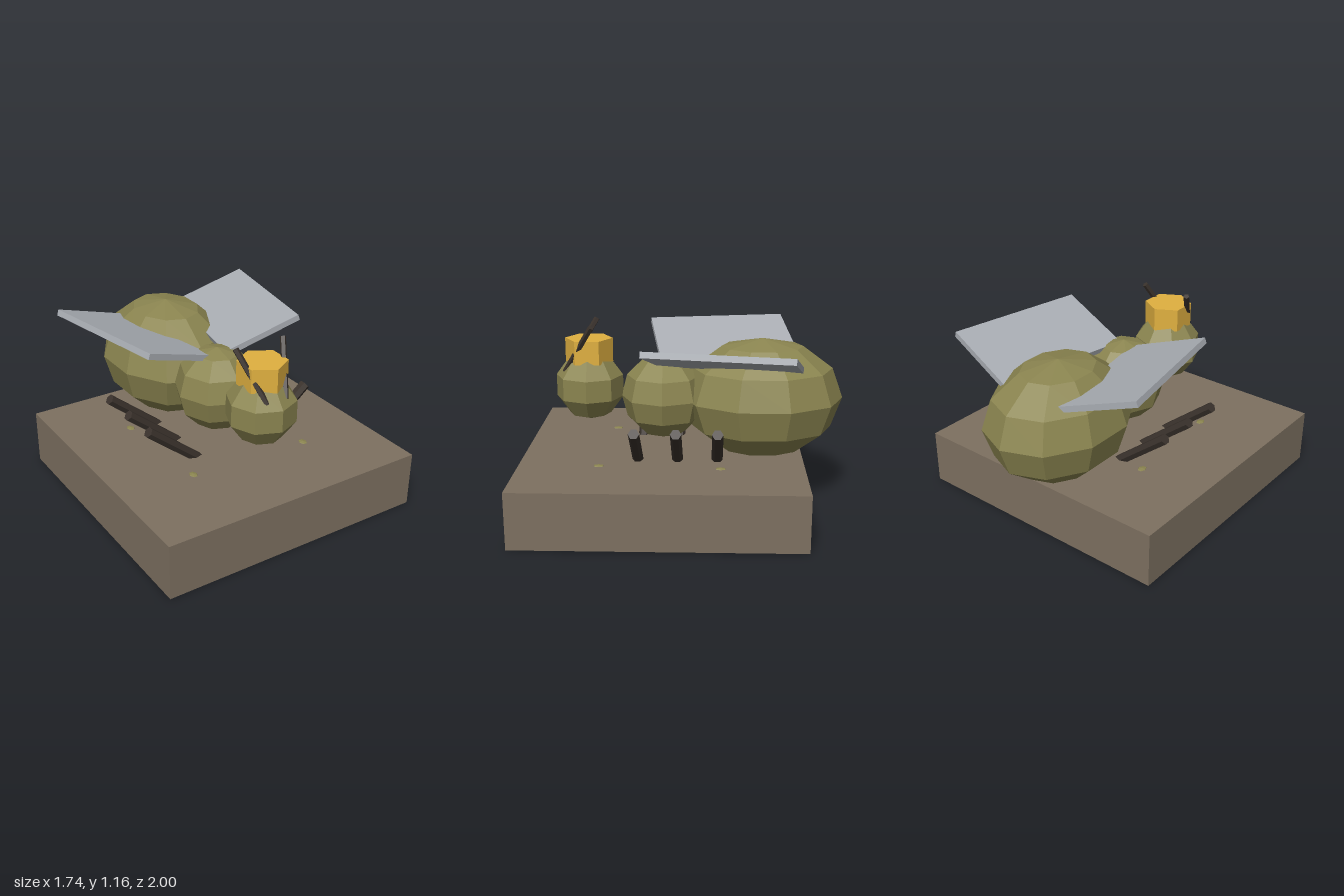
import * as THREE from 'three';

const paint = (color) => new THREE.MeshStandardMaterial({ color, flatShading: true });

export function createModel() {
  const model = new THREE.Group();
  const olive = paint(0x8b8550);
  const stone = paint(0x7d7060);
  const silver = paint(0xa9adb3);
  const gold = paint(0xe0b040);
  const dark = paint(0x3a322c);

  const add = (name, geometry, material, x, y, z) => {
    const mesh = new THREE.Mesh(geometry, material);
    mesh.name = name;
    mesh.position.set(x, y, z);
    model.add(mesh);
    return mesh;
  };

  // Straight rod between two points
  const rod = (name, a, b, radius, sides) => {
    const dir = b.clone().sub(a);
    const mid = a.clone().add(b).multiplyScalar(0.5);
    const mesh = add(name, new THREE.CylinderGeometry(radius, radius, dir.length(), sides), dark, mid.x, mid.y, mid.z);
    mesh.quaternion.setFromUnitVectors(new THREE.Vector3(0, 1, 0), dir.normalize());
  };

  // Ground block
  add('base', new THREE.BoxGeometry(1.74, 0.35, 1.74), stone, 0, 0.175, 0.13);

  // Body: abdomen stretched along z with a facet corner at each end
  const abdomenShape = new THREE.SphereGeometry(1, 10, 6).rotateY(Math.PI / 2).scale(0.41, 0.38, 0.51);
  add('abdomen', abdomenShape, olive, 0, 0.685, -0.49);
  add('thorax', new THREE.SphereGeometry(0.27, 8, 6), olive, 0, 0.69, 0.13);
  add('head', new THREE.SphereGeometry(0.222, 8, 5), olive, 0, 0.755, 0.6);

  // Six-sided crown
  add('crown', new THREE.CylinderGeometry(0.15, 0.15, 0.15, 6), gold, 0, 0.985, 0.6);

  for (const s of [1, -1]) {
    const side = s > 0 ? 'left' : 'right';

    // Wing: slab tilted upward and swept
    const wing = add(side + 'Wing', new THREE.BoxGeometry(0.52, 0.038, 0.9), silver, s * 0.375, 0.99, -0.245);
    wing.rotation.set(0, -s * 0.18, s * 0.325);

    // Antenna leaning back through the crown
    rod(side + 'Antenna', new THREE.Vector3(s * 0.065, 0.855, 0.745), new THREE.Vector3(s * 0.165, 1.155, 0.565), 0.019, 5);

    // Three legs slanting into the base
    ['Front', 'Middle', 'Rear'].forEach((row, i) => {
      const z = 0.28 - i * 0.245;
      rod(side + row + 'Leg', new THREE.Vector3(s * 0.18, 0.28, z), new THREE.Vector3(s * 0.58, 0.61, z), 0.034, 6);
    });

    // Small half-buried pebbles
    const spots = s > 0 ? [[0.4, 0.51], [0.435, -0.23]] : [[-0.385, 0.465], [-0.43, -0.23]];
    for (const [x, z] of spots) {
      add(side + 'Pebble', new THREE.SphereGeometry(0.035, 6, 4).scale(0.9, 0.5, 1.2), olive, x, 0.341, z);
    }
  }
  return model;
}
